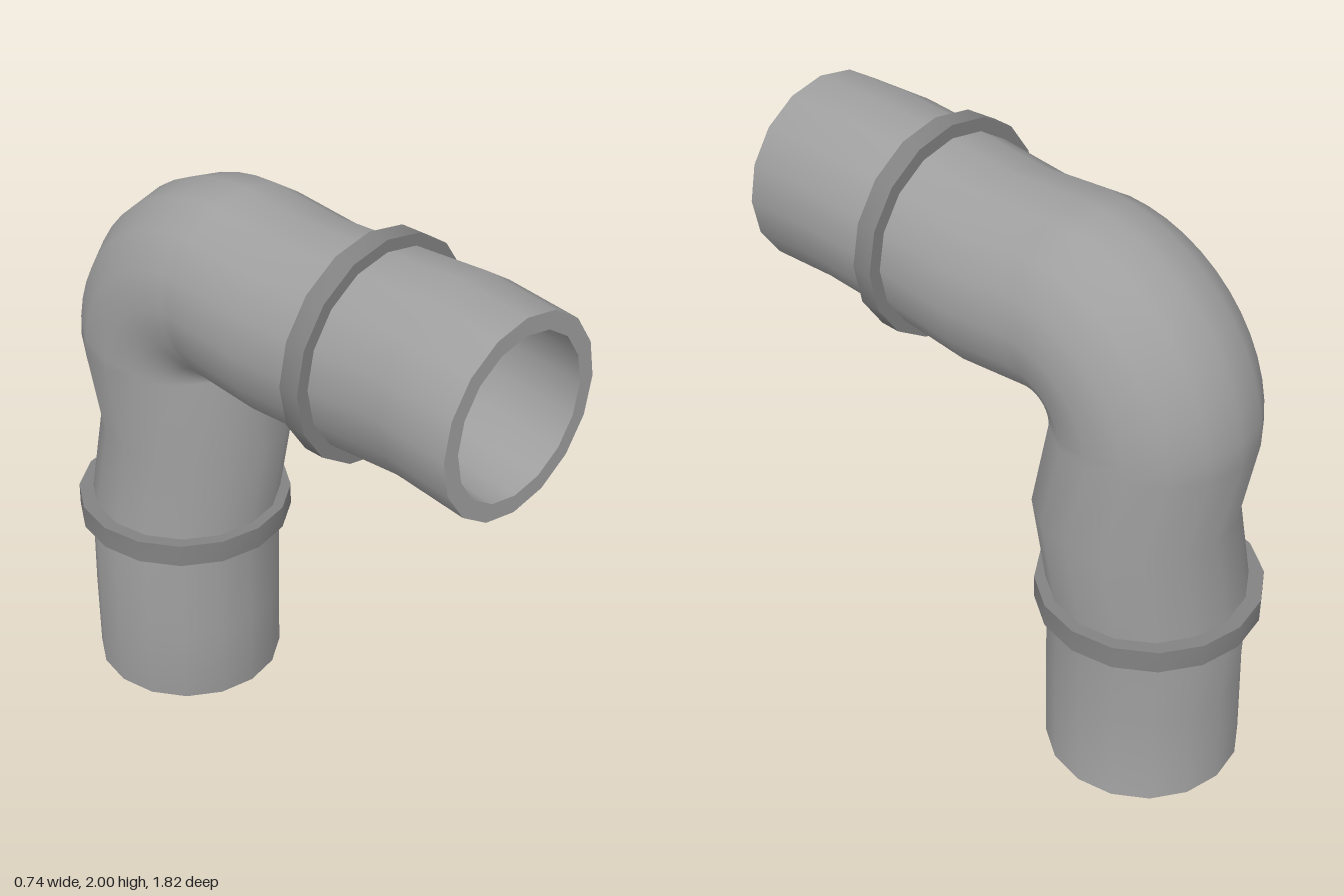
import * as THREE from 'three';
import { mergeGeometries } from 'three/addons/utils/BufferGeometryUtils.js';

const SIDES = 16;
const HOSE_COLOR = 0x9f9f9f, COLLAR_COLOR = 0x828282;

// One loop of points around a section; a is the bend angle (0 = axis up, PI/2 = axis to the front)
function loop({ x = 0, y, z, a }, r) {
  const pts = [];
  for (let j = 0; j < SIDES; j++) {
    const t = (j / SIDES) * Math.PI * 2;
    const v = r * Math.sin(t);
    pts.push([x + r * Math.cos(t), y + v * Math.sin(a), z - v * Math.cos(a)]);
  }
  return pts;
}

// Smooth skin through a row of loops
function skin(loops) {
  const index = [];
  for (let i = 0; i < loops.length - 1; i++) {
    for (let j = 0; j < SIDES; j++) {
      const k = (j + 1) % SIDES;
      const a = i * SIDES + j, b = i * SIDES + k;
      index.push(a, b, b + SIDES, a, b + SIDES, a + SIDES);
    }
  }
  const geo = new THREE.BufferGeometry();
  geo.setAttribute('position', new THREE.Float32BufferAttribute(loops.flat(2), 3));
  geo.setIndex(index);
  geo.computeVertexNormals();
  return geo;
}

// Hollow pipe wall: outer skin, end rims and inner skin, with sharp edges between them
function pipe(name, sections, outerR, innerR, color) {
  const outer = sections.map((s) => loop(s, outerR));
  const inner = sections.map((s) => loop(s, innerR)).reverse();
  const geo = mergeGeometries([
    skin(outer),
    skin([outer.at(-1), inner[0]]),
    skin(inner),
    skin([inner.at(-1), outer[0]]),
  ]);
  const mesh = new THREE.Mesh(geo, new THREE.MeshStandardMaterial({ color }));
  mesh.name = name;
  return mesh;
}

export function createModel() {
  const group = new THREE.Group();
  group.name = 'elbowPipe';

  const up = 0, front = Math.PI / 2;
  const pivotY = 1.302, pivotZ = -0.21, bendR = 0.328;
  const legZ = pivotZ - bendR, armY = pivotY + bendR;

  // Slightly wavy upright leg
  const sections = [
    { y: 0, z: legZ, a: up },
    { x: -0.024, y: 0.31, z: -0.512, a: up },
    { y: 0.65, z: legZ, a: up },
    { x: 0.026, y: 1.0, z: -0.492, a: up },
  ];
  // Quarter bend
  const steps = 12;
  for (let i = 0; i <= steps; i++) {
    const a = (i / steps) * front;
    sections.push({ y: pivotY + bendR * Math.sin(a), z: pivotZ - bendR * Math.cos(a), a });
  }
  // Slightly wavy arm to the front
  sections.push(
    { x: 0.004, y: 1.607, z: 0.05, a: front },
    { y: armY, z: 0.35, a: front },
    { x: 0.006, y: 1.65, z: 0.65, a: front },
    { y: armY, z: 0.91, a: front },
  );
  group.add(pipe('hose', sections, 0.327, 0.268, HOSE_COLOR));

  // Collars around the leg and the arm
  const lower = [0.612, 0.693].map((y) => ({ y, z: legZ, a: up }));
  const forward = [0.312, 0.384].map((z) => ({ y: armY, z, a: front }));
  group.add(pipe('lowerCollar', lower, 0.37, 0.3, COLLAR_COLOR));
  group.add(pipe('frontCollar', forward, 0.37, 0.3, COLLAR_COLOR));
  return group;
}
